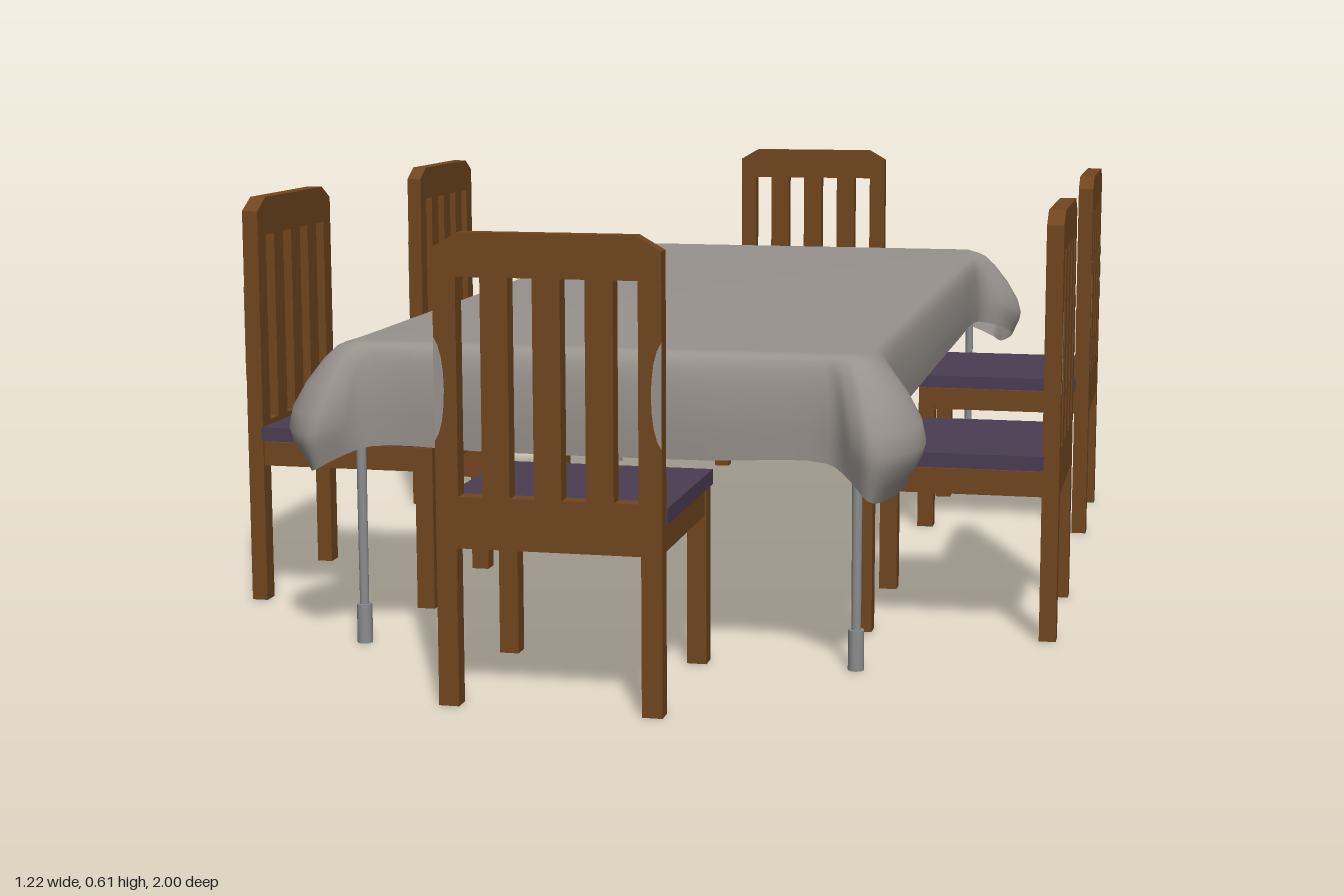
import * as THREE from 'three';

const mat = (name, color, side = THREE.FrontSide) => {
  const m = new THREE.MeshStandardMaterial({ color, side });
  m.name = name;
  return m;
};

export function createModel() {
  const wood = mat('wood', 0x70451f);
  const fabric = mat('seat fabric', 0x4b3d52);
  const linen = mat('linen', 0x98928d, THREE.DoubleSide);
  const metal = mat('metal', 0x8b8d8f);
  const boardGrey = mat('board grey', 0x696763);

  const root = new THREE.Group();
  root.name = 'diningSet';

  const add = (parent, name, geo, material, x = 0, y = 0, z = 0) => {
    const m = new THREE.Mesh(geo, material);
    m.name = name;
    m.position.set(x, y, z);
    parent.add(m);
    return m;
  };
  const box = (parent, name, material, x0, x1, y0, y1, z0, z1) =>
    add(parent, name, new THREE.BoxGeometry(x1 - x0, y1 - y0, z1 - z0), material,
      (x0 + x1) / 2, (y0 + y1) / 2, (z0 + z1) / 2);
  const polygon = (Type, pts) => new Type(pts.map(p => new THREE.Vector2(...p)));

  // Chair back with its rear legs, chamfered top and four slots
  const backShape = polygon(THREE.Shape, [
    [-0.148, 0], [-0.121, 0], [-0.121, 0.208], [0.121, 0.208], [0.121, 0], [0.148, 0],
    [0.148, 0.593], [0.115, 0.612], [-0.115, 0.612], [-0.148, 0.593]]);
  for (const x of [-0.102, -0.034, 0.034, 0.102])
    backShape.holes.push(polygon(THREE.Path, [
      [x - 0.016, 0.275], [x - 0.016, 0.556], [x + 0.016, 0.556], [x + 0.016, 0.275]]));
  const backGeo = new THREE.ExtrudeGeometry(backShape, { depth: 0.024, bevelEnabled: false });

  // Curved inlay on the outer edge of each rear post
  const inlayShape = new THREE.Shape();
  inlayShape.moveTo(0.148, 0.345);
  inlayShape.bezierCurveTo(0.13, 0.365, 0.13, 0.46, 0.148, 0.48);
  const inlayGeo = new THREE.ShapeGeometry(inlayShape, 8);

  // Chair: outer face of the back at z = 0, seat reaching towards -z
  function chair() {
    const g = new THREE.Group();
    g.name = 'chair';
    add(g, 'chairBack', backGeo, wood, 0, 0, -0.024);
    box(g, 'seatFrame', wood, -0.145, 0.145, 0.208, 0.244, -0.288, -0.024);
    box(g, 'seatCushion', fabric, -0.15, 0.15, 0.246, 0.267, -0.294, -0.022);
    for (const s of [-1, 1]) {
      box(g, 'frontLeg', wood, s * 0.134 - 0.0135, s * 0.134 + 0.0135, 0, 0.244, -0.291, -0.264);
      const inlay = add(g, 'postInlay', inlayGeo, linen, 0, 0, 0.0008);
      inlay.scale.x = s;
    }
    return g;
  }
  const placements = [[0, 1, 0], [0, -1, Math.PI]];
  for (const s of [-1, 1])
    for (const z of [-0.37, 0.37]) placements.push([s * 0.608, z, s * Math.PI / 2]);
  for (const [x, z, turn] of placements) {
    const c = chair();
    c.position.set(x, 0, z);
    c.rotation.y = turn;
    root.add(c);
  }

  // Table board, rim and slim legs with thicker feet
  const table = new THREE.Group();
  table.name = 'table';
  root.add(table);
  box(table, 'tableBoard', boardGrey, -0.345, 0.345, 0.395, 0.425, -0.735, 0.735);
  for (const s of [-1, 1]) {
    box(table, 'sideRim', metal, s * 0.349 - 0.004, s * 0.349 + 0.004, 0.385, 0.42, -0.738, 0.738);
    box(table, 'endRim', metal, -0.349, 0.349, 0.385, 0.42, s * 0.736 - 0.004, s * 0.736 + 0.004);
    for (const t of [-1, 1]) {
      const x = s * 0.352, z = t * 0.72;
      add(table, 'tableLeg', new THREE.CylinderGeometry(0.0075, 0.0065, 0.37, 14), metal, x, 0.235, z);
      add(table, 'tableFoot', new THREE.CylinderGeometry(0.011, 0.011, 0.056, 14), metal, x, 0.028, z);
    }
  }

  // Cloth corner columns, from long side to short side:
  // edge x, z | belly x, z, y | hem x, z, y
  const corner = [
    [0.35, 0.30, 0.378, 0.30, 0.36, 0.376, 0.30, 0.32],
    [0.35, 0.55, 0.378, 0.55, 0.36, 0.377, 0.55, 0.318],
    [0.35, 0.62, 0.386, 0.62, 0.36, 0.385, 0.62, 0.312],
    [0.35, 0.69, 0.425, 0.675, 0.345, 0.412, 0.67, 0.29],
    [0.35, 0.725, 0.445, 0.73, 0.325, 0.42, 0.73, 0.262],
    [0.345, 0.738, 0.425, 0.785, 0.32, 0.395, 0.77, 0.245],
    [0.335, 0.74, 0.385, 0.815, 0.32, 0.378, 0.80, 0.25],
    [0.325, 0.74, 0.355, 0.80, 0.335, 0.35, 0.785, 0.275],
    [0.30, 0.74, 0.322, 0.771, 0.36, 0.318, 0.768, 0.292],
    [0.15, 0.74, 0.15, 0.77, 0.36, 0.15, 0.767, 0.29]];
  const rows = [[], [], [], []];
  for (const [sx, sz] of [[1, 1], [-1, 1], [-1, -1], [1, -1]]) {
    const same = sx * sz > 0;
    for (const c of same ? corner : [...corner].reverse()) {
      const [ex, ez, bx, bz, by, hx, hz, hy] = c;
      const d = Math.hypot(bx - ex, bz - ez);
      const k = (0.02 + 0.22 * (d - 0.03)) / d;
      // two opposite corners hang a little differently
      const lift = same ? 0 : Math.max(0, d - 0.05) * 0.3;
      const put = (r, x, y, z) => rows[r].push(new THREE.Vector3(sx * x, y, sz * z));
      put(0, ex, 0.437, ez);
      put(1, ex + (bx - ex) * k, 0.423, ez + (bz - ez) * k);
      put(2, bx + lift * 0.3, by, bz);
      put(3, hx + lift, hy + lift, hz);
    }
  }

  // Skin the cloth: smooth loops around, smooth drop down each column
  const N = 200, R = 10, verts = [], index = [];
  const loops = rows.map(p => new THREE.CatmullRomCurve3(p, true));
  for (let i = 0; i < N; i++) {
    const drop = new THREE.CatmullRomCurve3(loops.map(l => l.getPoint(i / N)));
    for (let r = 0; r <= R; r++) verts.push(...drop.getPoint(r / R).toArray());
  }
  const centre = N * (R + 1);
  verts.push(0, 0.437, 0);
  for (let i = 0; i < N; i++) {
    const a = i * (R + 1), b = ((i + 1) % N) * (R + 1);
    index.push(centre, b, a);
    for (let r = 0; r < R; r++)
      index.push(a + r, b + r, a + r + 1, b + r, b + r + 1, a + r + 1);
  }
  const clothGeo = new THREE.BufferGeometry();
  clothGeo.setAttribute('position', new THREE.Float32BufferAttribute(verts, 3));
  clothGeo.setIndex(index);
  clothGeo.computeVertexNormals();
  add(table, 'tablecloth', clothGeo, linen);

  return root;
}
